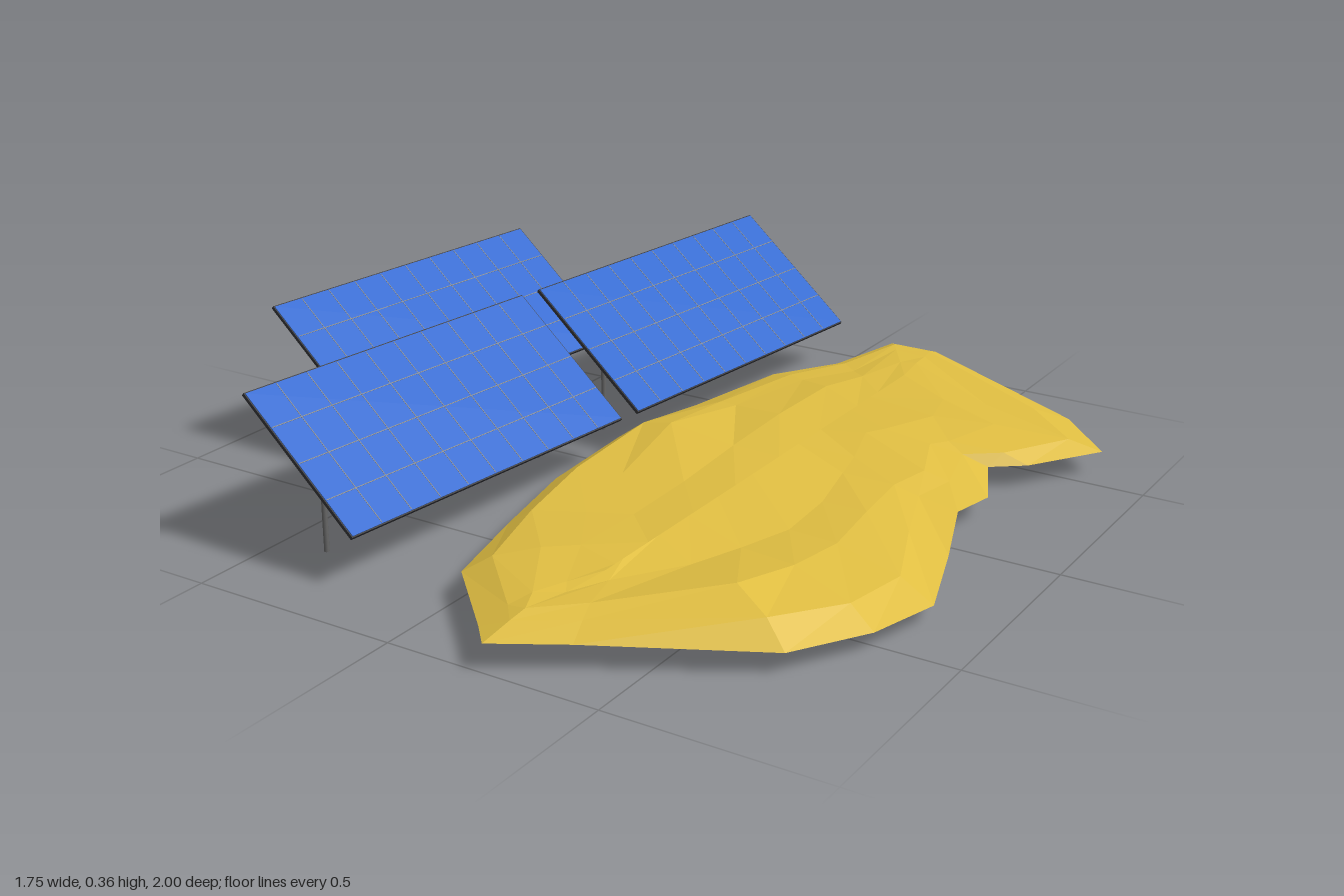
import * as THREE from 'three';

const mat = (color, extra = {}) => new THREE.MeshStandardMaterial({ color, ...extra });
const frameMat = mat(0x333337);
const cellMat = mat(0x3069d0);
const lineMat = mat(0x8a8a88);
const postMat = mat(0x666666);
const soilMat = mat(0xe0be42, { flatShading: true, side: THREE.DoubleSide });

function add(parent, name, geometry, material, x = 0, y = 0, z = 0) {
  const mesh = new THREE.Mesh(geometry, material);
  mesh.name = name;
  mesh.position.set(x, y, z);
  parent.add(mesh);
  return mesh;
}

// One tilted solar table on two posts
function solarTable(x, z) {
  const W = 0.397, L = 0.87, TILT = 0.666, H = 0.236;
  const table = new THREE.Group();
  table.name = 'solarTable';
  table.position.set(x, 0, z);
  table.rotation.y = -0.109;

  const panel = new THREE.Group();
  panel.name = 'panel';
  panel.position.y = H;
  panel.rotation.z = -TILT;
  table.add(panel);
  add(panel, 'frame', new THREE.BoxGeometry(W, 0.008, L), frameMat);
  add(panel, 'cells', new THREE.BoxGeometry(W - 0.006, 0.002, L - 0.006), cellMat, 0, 0.0045, 0);
  for (let i = 1; i < 4; i++)
    add(panel, 'cellLine', new THREE.BoxGeometry(0.002, 0.001, L - 0.01), lineMat, W * (i / 4 - 0.5), 0.0057, 0);
  for (let i = 1; i < 10; i++)
    add(panel, 'cellLine', new THREE.BoxGeometry(W - 0.01, 0.001, 0.002), lineMat, 0, 0.0057, L * (i / 10 - 0.5));

  // Posts stand slightly towards the high edge
  const px = -0.027, top = H - px * Math.tan(TILT) - 0.004;
  for (const side of [-1, 1])
    add(table, 'post', new THREE.CylinderGeometry(0.006, 0.006, top, 10), postMat, px, top / 2, side * 0.343);
  return table;
}

// Rim of the mound: x, y, z
const RIM = [
  [0.11, 0.06, -1], [0.24, 0.06, -1], [0.725, 0.058, -0.725], [0.87, 0.056, -0.57], [0.755, 0.055, -0.4],
  [0.68, 0.054, -0.345], [0.75, 0.052, -0.185], [0.725, 0.05, -0.08], [0.8, 0.045, 0.13], [0.87, 0.04, 0.35],
  [0.825, 0.043, 0.525], [0.725, 0.048, 0.7], [0.375, 0.056, 0.9], [0.23, 0.06, 0.995], [0.18, 0.06, 0.94],
  [0, 0.058, 0.76], [-0.07, 0.053, 0.5], [-0.13, 0.05, 0.24], [-0.15, 0.05, -0.05], [-0.1, 0.054, -0.33],
  [-0.045, 0.057, -0.62], [0.06, 0.059, -0.78],
];
// Local humps and hollows: x, z, height, radius
const HUMPS = [
  [0.015, 0, 0.04, 0.13], [0.27, -0.35, 0.022, 0.2], [0.61, 0.6, 0.028, 0.13],
  [0.2, 0.65, 0.018, 0.15], [0.55, -0.02, -0.015, 0.13], [0.6, -0.5, 0.012, 0.12],
];

function groundHeight(x, z, seed) {
  let y = 0.092 + 0.006 * Math.sin(seed * 12.9);
  for (const [hx, hz, h, r] of HUMPS) y += h * Math.exp(-((x - hx) ** 2 + (z - hz) ** 2) / (r * r));
  return y;
}

// Low-poly earth mound: rings shrinking from the rim to a spine, flat below
function moundGeometry() {
  const n = RIM.length, steps = [0, 0.17, 0.38, 0.68, 1];
  const pos = [], index = [];
  steps.forEach((t, k) => RIM.forEach(([x, y, z], i) => {
    const wobble = k > 0 && k < 4 ? 0.05 * Math.sin(i * 5.3 + k * 2.1) : 0;
    const s = t + wobble;
    const px = x + (0.3 - x) * s, pz = z * (1 - 0.32 * s);
    let py = y;
    if (k === 1) py = groundHeight(px, pz, i + k * 7) * 0.88;
    else if (k === 4) py = 0.104;
    else if (k > 1) py = groundHeight(px, pz, i + k * 7);
    pos.push(px, py, pz);
  }));
  for (let k = 0; k < steps.length - 1; k++)
    for (let i = 0; i < n; i++) {
      const j = (i + 1) % n, a = k * n, b = a + n;
      index.push(a + i, b + i, a + j, a + j, b + i, b + j);
    }
  const contour = RIM.map(([x, , z]) => new THREE.Vector2(x, z));
  for (const [a, b, c] of THREE.ShapeUtils.triangulateShape(contour, [])) {
    const [A, B, C] = [contour[a], contour[b], contour[c]];
    const ccw = (B.x - A.x) * (C.y - A.y) - (B.y - A.y) * (C.x - A.x) > 0;
    index.push(a, ccw ? b : c, ccw ? c : b);
  }
  const g = new THREE.BufferGeometry();
  g.setAttribute('position', new THREE.Float32BufferAttribute(pos, 3));
  g.setIndex(index);
  const flat = g.toNonIndexed();
  flat.computeVertexNormals();
  return flat;
}

export function createModel() {
  const model = new THREE.Group();
  model.name = 'solarField';
  add(model, 'mound', moundGeometry(), soilMat);
  for (const [x, z] of [[-0.672, -0.076], [-0.217, -0.522], [-0.32, 0.4]]) model.add(solarTable(x, z));
  return model;
}
